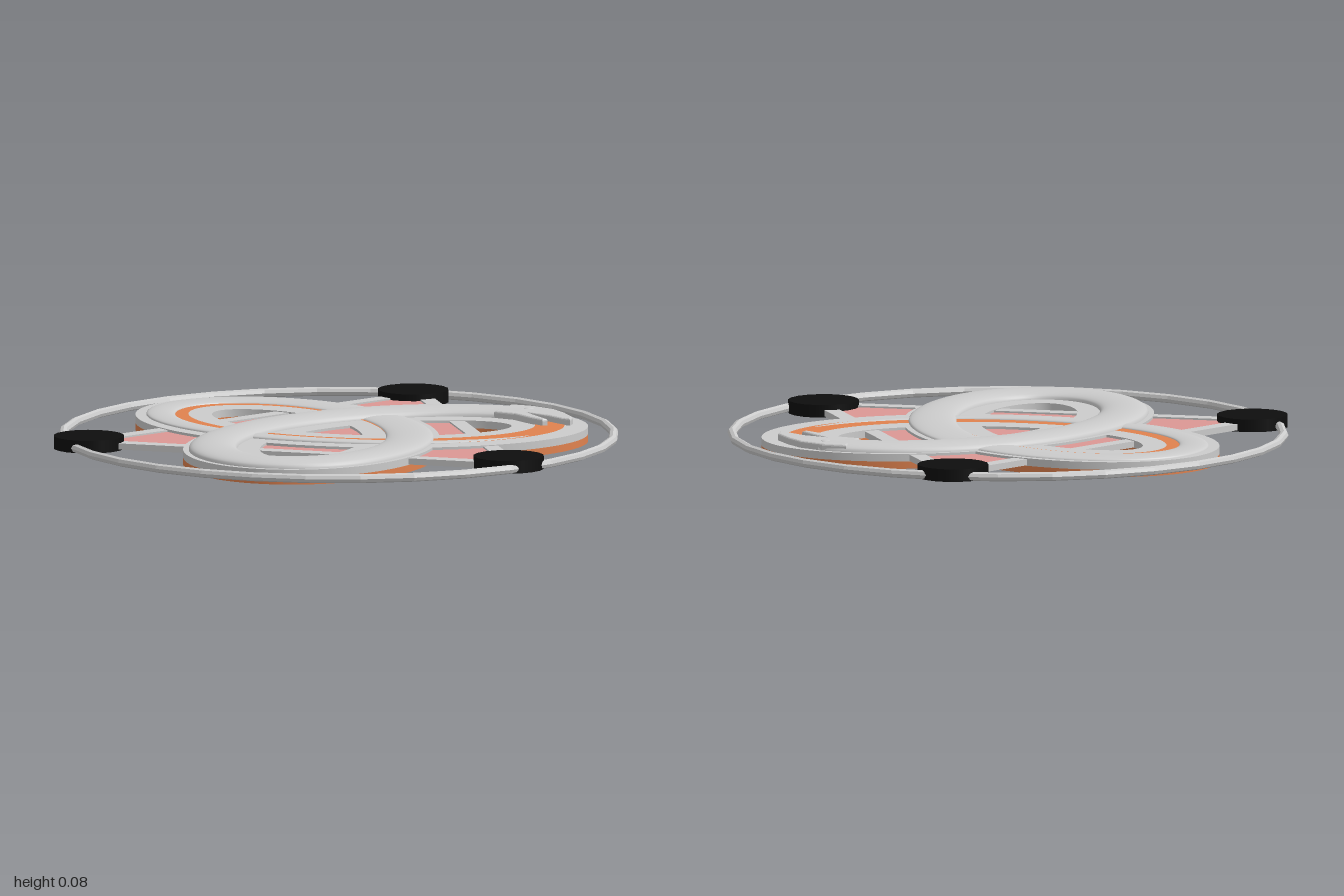
import * as THREE from 'three';

const A = 0.48, B = 0.275;            // three-lobed knot curve: tips at A+B, waists at A-B
const HALF = 0.135, TOP = 0.055;      // slab half width and top height

const material = (color) => new THREE.MeshStandardMaterial({ color, side: THREE.DoubleSide, roughness: 0.8 });

// Point on the knot, moved sideways (positive = outward) by d
function knot(t, d) {
  const x = B * Math.sin(t) + A * Math.sin(2 * t);
  const z = A * Math.cos(2 * t) - B * Math.cos(t);
  const dx = B * Math.cos(t) + 2 * A * Math.cos(2 * t);
  const dz = B * Math.sin(t) - 2 * A * Math.sin(2 * t);
  const l = Math.hypot(dx, dz);
  return [x - (dz / l) * d, z + (dx / l) * d];
}

// Sweep a cross-section of [sideways, y] points along the knot
function sweep(t0, t1, steps, section) {
  const pos = [], index = [];
  let m = 0;
  for (let i = 0; i <= steps; i++) {
    const t = t0 + ((t1 - t0) * i) / steps;
    const pts = section(t);
    m = pts.length;
    for (const [d, y] of pts) {
      const [x, z] = knot(t, d);
      pos.push(x, y, z);
    }
  }
  for (let i = 0; i < steps; i++) {
    for (let j = 0; j < m - 1; j++) {
      const a = i * m + j, b = a + m;
      index.push(a, b, a + 1, b, b + 1, a + 1);
    }
  }
  const g = new THREE.BufferGeometry();
  g.setAttribute('position', new THREE.Float32BufferAttribute(pos, 3));
  g.setIndex(index);
  g.computeVertexNormals();
  return g;
}

// Flat shape from [x, z] points, raised from y0 to y1
function shapeOf(points) {
  return new THREE.Shape(points.map(([x, z]) => new THREE.Vector2(x, -z)));
}
function plate(shape, y0, y1, bevel = 0) {
  const g = new THREE.ExtrudeGeometry(shape, {
    depth: y1 - y0 - bevel, bevelEnabled: bevel > 0, bevelThickness: bevel,
    bevelSize: bevel, bevelOffset: -bevel, bevelSegments: 3,
  });
  g.rotateX(-Math.PI / 2);
  g.translate(0, y0, 0);
  return g;
}
const triangle = (inradius) => [0, 1, 2].map((i) => {
  const a = -Math.PI / 2 - (i * 2 * Math.PI) / 3;
  return [2 * inradius * Math.cos(a), 2 * inradius * Math.sin(a)];
});

export function createModel() {
  const group = new THREE.Group();
  const grey = material(0xcccccc), orange = material(0xe0824f);
  const pink = material(0xdc9894), black = material(0x0e0e0e);
  const add = (name, geometry, mat, x = 0, y = 0, z = 0) => {
    const mesh = new THREE.Mesh(geometry, mat);
    mesh.name = name;
    mesh.position.set(x, y, z);
    group.add(mesh);
    return mesh;
  };
  const ribbon = (name, mat, pts) => add(name, sweep(0, 2 * Math.PI, 240, () => pts), mat);

  // Knot slab: orange walls, grey rim and faces, orange centre band on both faces
  for (const s of [1, -1]) {
    const wall = (y0, y1) => (s > 0 ? [[HALF, y0], [HALF, y1]] : [[-HALF, y1], [-HALF, y0]]);
    ribbon('slabWall', orange, wall(0.002, 0.028));
    ribbon('slabRim', grey, wall(0.028, TOP));
  }
  ribbon('slabTop', grey, [[HALF, TOP], [-HALF, TOP]]);
  ribbon('slabBottom', grey, [[-HALF, 0.002], [HALF, 0.002]]);
  ribbon('topBand', orange, [[0.052, TOP + 0.002], [-0.052, TOP + 0.002]]);
  ribbon('bottomBand', orange, [[-0.065, 0], [0.065, 0]]);

  // Triangular frame with its panel
  const frame = shapeOf(triangle(0.485));
  frame.holes.push(new THREE.Path(triangle(0.43).map(([x, z]) => new THREE.Vector2(x, -z))));
  add('triangleFrame', plate(frame, 0.03, 0.052), grey);
  add('trianglePanel', plate(shapeOf(triangle(0.432)), 0.035, 0.046), pink);

  // Serpent body: domed, sinking after the first loop and tapering to the tail
  const body = sweep(1.3, 7.05, 260, (t) => {
    const u = Math.min(1, (7.1 - t) / 3.1);
    const w = 0.085 * Math.pow(u, 0.75);
    const h = 0.012 + 0.016 * (1 - THREE.MathUtils.smoothstep(t, 3.5, 4.4));
    const height = h * Math.min(1, u * 4);
    const shift = 0.03 + 0.015 * THREE.MathUtils.smoothstep(t, 4, 5.2)
      - 0.012 * THREE.MathUtils.smoothstep(t, 5.6, 6.3);
    return Array.from({ length: 17 }, (_, j) => {
      const a = (Math.PI * j) / 16;
      return [shift + w * Math.cos(a), TOP + height * Math.pow(Math.max(0, Math.sin(a)), 0.75)];
    });
  });
  add('serpentBody', body, grey);

  // Serpent head with open jaws, and its eye
  const head = shapeOf([
    [0.44, -0.61], [0.53, -0.6], [0.62, -0.555], [0.68, -0.49], [0.735, -0.41], [0.74, -0.36],
    [0.7, -0.375], [0.63, -0.425], [0.55, -0.455], [0.6, -0.405], [0.665, -0.335], [0.65, -0.32],
    [0.59, -0.36], [0.51, -0.425], [0.43, -0.445],
  ]);
  add('serpentHead', plate(head, TOP, 0.08, 0.008), grey);
  const eye = add('serpentEye', new THREE.SphereGeometry(0.02, 16, 8), grey, 0.53, 0.079, -0.535);
  eye.scale.y = 0.25;

  // Corner discs
  for (const [x, z] of [[-0.01, -0.878], [-0.778, 0.455], [0.767, 0.423]]) {
    add('cornerDisc', new THREE.CylinderGeometry(0.125, 0.125, 0.045, 18), black, x, 0.0475, z);
  }

  // Outer ring
  const ring = new THREE.TorusGeometry(0.973, 0.016, 8, 32);
  ring.rotateX(Math.PI / 2);
  const ringMat = material(0xcccccc);
  ringMat.flatShading = true;
  add('outerRing', ring, ringMat, 0, 0.041, 0.005);

  return group;
}
